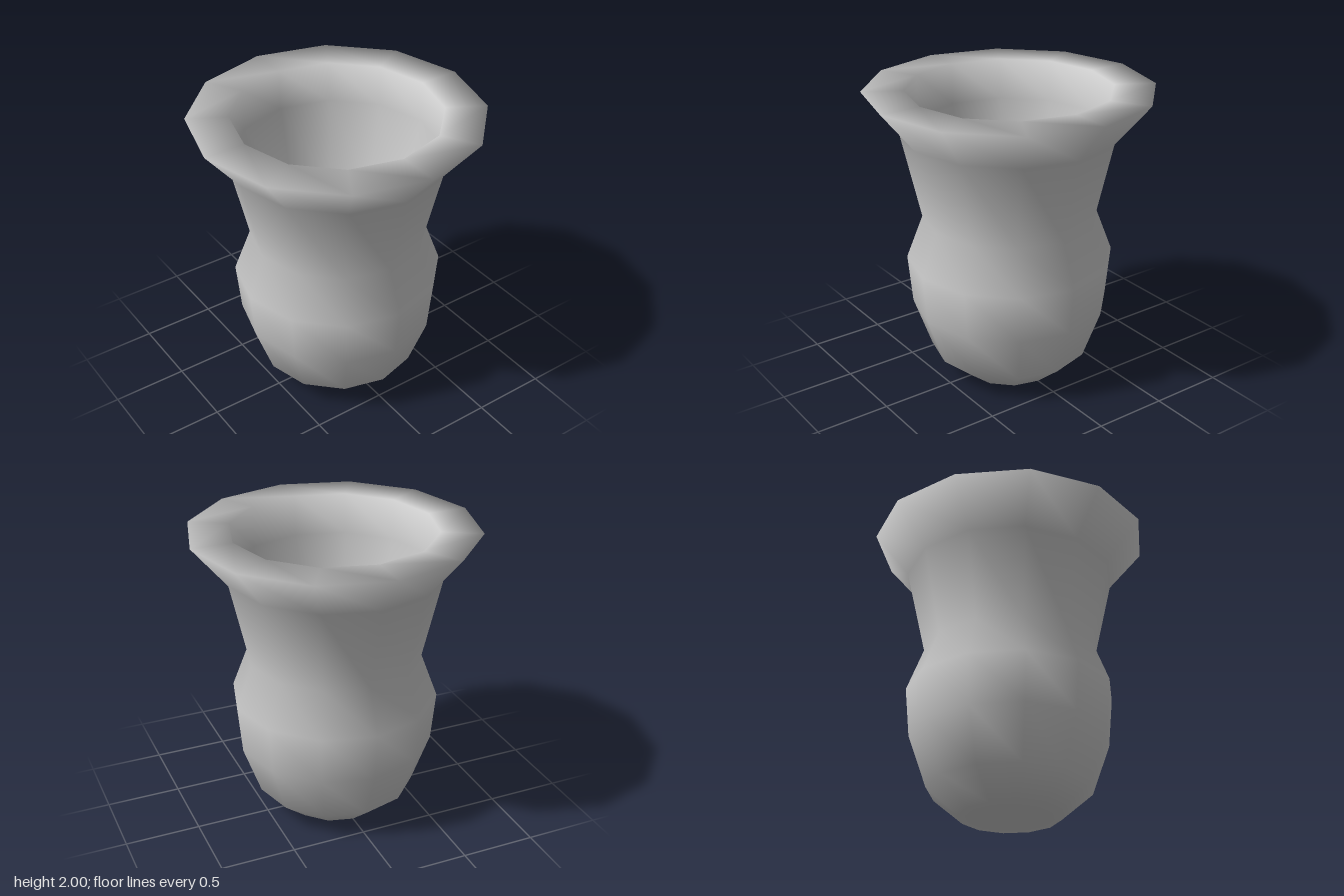
import * as THREE from 'three';

export function createModel() {
  const group = new THREE.Group();
  group.name = 'vase';

  const material = new THREE.MeshStandardMaterial({ color: 0xcccccc, side: THREE.DoubleSide });
  const SIDES = 12;

  // Outer wall: foot, belly, neck and flared mouth
  const outer = [
    [0, 0], [0.33, 0], [0.54, 0.18], [0.66, 0.52], [0.69, 0.85],
    [0.58, 1.14], [0.71, 1.72], [0.94, 2],
  ];
  // Flat lip, then the hollow running down to the bottom
  const inner = [[0.67, 2], [0.67, 1.72], [0.54, 1.14], [0.36, 0.5], [0, 0.1]];

  const profile = [...outer, ...inner].map(([r, y]) => new THREE.Vector2(r, y));
  const body = new THREE.Mesh(new THREE.LatheGeometry(profile, SIDES), material);
  body.name = 'vaseBody';
  group.add(body);

  return group;
}
